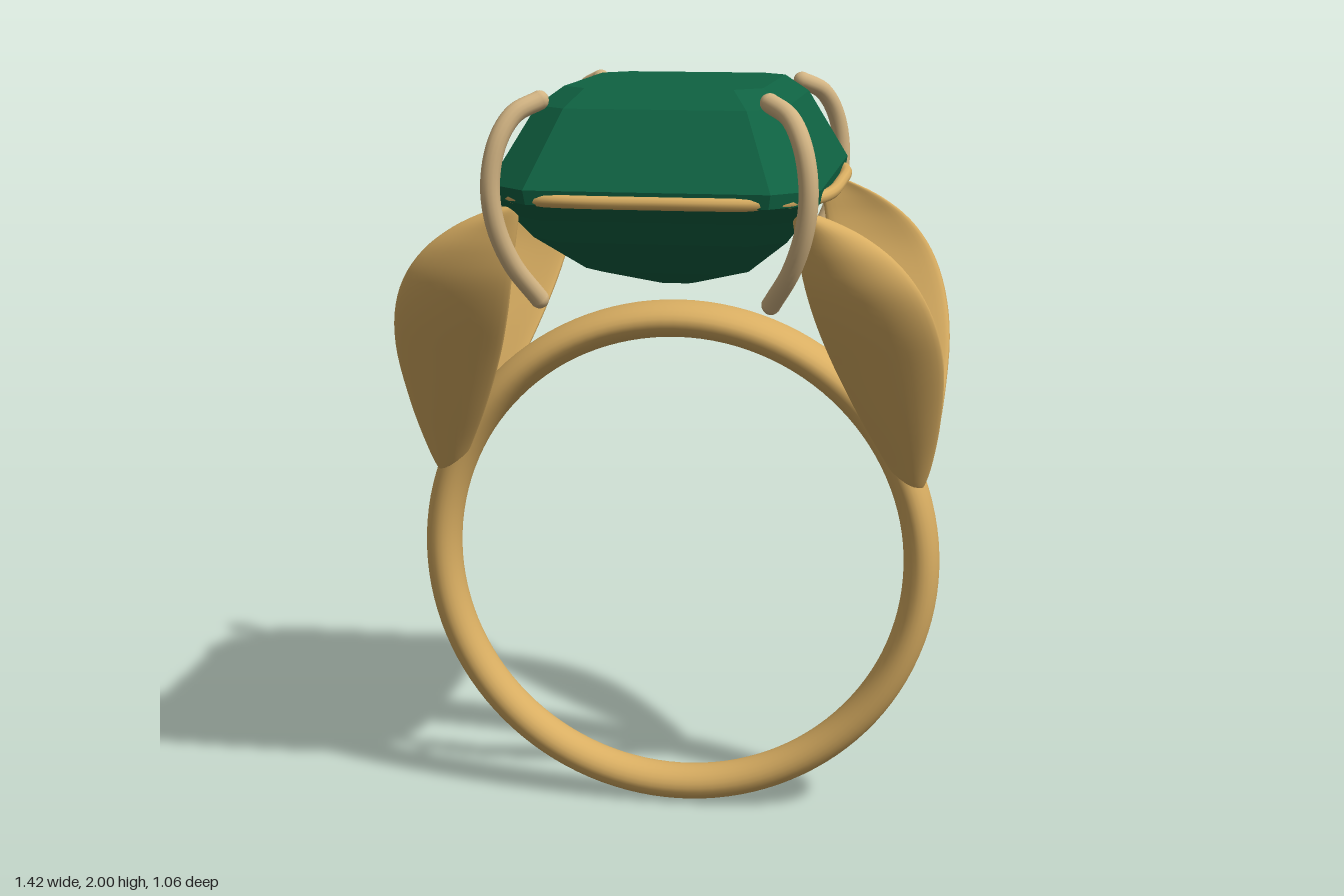
import * as THREE from 'three';
import { mergeGeometries, mergeVertices } from 'three/addons/utils/BufferGeometryUtils.js';

// Skin closed rings of [x, y, z] points, bottom to top, with both ends capped
function loft(rings, flat = false) {
  const n = rings[0].length, pos = [], idx = [];
  for (const ring of rings) for (const p of ring) pos.push(...p);
  for (let i = 0; i < rings.length - 1; i++) {
    for (let j = 0; j < n; j++) {
      const a = i * n + j, b = i * n + (j + 1) % n;
      idx.push(a, a + n, b + n, a, b + n, b);
    }
  }
  const last = (rings.length - 1) * n;
  for (let j = 1; j < n - 1; j++) {
    idx.push(0, j, j + 1);
    idx.push(last, last + j + 1, last + j);
  }
  let geo = new THREE.BufferGeometry();
  geo.setAttribute('position', new THREE.Float32BufferAttribute(pos, 3));
  geo.setIndex(idx);
  if (flat) geo = geo.toNonIndexed();
  geo.computeVertexNormals();
  return geo;
}

// Rectangle with cut corners at height y
function octagon(x, z, cut, y) {
  return [[x, -z + cut], [x, z - cut], [x - cut, z], [-x + cut, z],
    [-x, z - cut], [-x, -z + cut], [-x + cut, -z], [x - cut, -z]].map(([px, pz]) => [px, y, pz]);
}

// Shank that widens towards the top
function bandGeometry() {
  let geo = new THREE.TorusGeometry(0.662, 0.048, 24, 120);
  const p = geo.attributes.position;
  for (let i = 0; i < p.count; i++) {
    const s = (p.getY(i) / 0.662 + 1) / 2;
    p.setZ(i, p.getZ(i) / 0.048 * (0.06 + 0.03 * s * s));
  }
  geo.deleteAttribute('normal');
  geo.deleteAttribute('uv');
  geo = mergeVertices(geo);
  geo.computeVertexNormals();
  return geo.translate(0, 0.712, 0);
}

// Cupped leaf: keys hold inner x, outer x, z and half thickness along the height
function leafGeometry(sx, sz) {
  const keys = [
    [0.935, 0.615, 0.65, 0.045, 0.006], [0.955, 0.593, 0.667, 0.054, 0.016],
    [1.03, 0.555, 0.687, 0.095, 0.024], [1.15, 0.497, 0.705, 0.165, 0.03],
    [1.3, 0.435, 0.712, 0.253, 0.032], [1.42, 0.395, 0.693, 0.325, 0.03],
    [1.52, 0.37, 0.652, 0.373, 0.027], [1.6, 0.355, 0.59, 0.392, 0.023],
    [1.66, 0.345, 0.51, 0.395, 0.019], [1.7, 0.34, 0.425, 0.394, 0.014],
    [1.715, 0.345, 0.375, 0.393, 0.006]];
  const at = (t, k) => {
    const f = Math.min(t * (keys.length - 1), keys.length - 1.0001), i = Math.floor(f), u = f - i;
    const v = [-1, 0, 1, 2].map(o => keys[Math.min(Math.max(i + o, 0), keys.length - 1)][k]);
    return v[1] + 0.5 * u * (v[2] - v[0] + u * (2 * v[0] - 5 * v[1] + 4 * v[2] - v[3]
      + u * (3 * (v[1] - v[2]) + v[3] - v[0])));
  };
  const rings = [];
  for (let r = 0; r <= 40; r++) {
    const [y, x0, x1, z, h] = [0, 1, 2, 3, 4].map(k => at(r / 40, k));
    const ring = [];
    for (let j = 0; j < 28; j++) {
      const a = j / 28 * Math.PI * 2, c = Math.cos(a);
      const px = (x0 + x1) / 2 + (x1 - x0) / 2 * c;
      ring.push([sx * px, y, sz * (z + h * Math.sin(a) - 0.9 * h * c * c)]);
    }
    if (sx * sz < 0) ring.reverse();
    rings.push(ring);
  }
  return loft(rings);
}

// Curved claw with rounded ends
function prongGeometry(sx, sz) {
  const pts = [[0.29, 1.485, 0.385], [0.345, 1.58, 0.44], [0.378, 1.68, 0.47], [0.387, 1.78, 0.478],
    [0.37, 1.88, 0.465], [0.335, 1.945, 0.432], [0.282, 1.975, 0.388]]
    .map(([x, y, z]) => new THREE.Vector3(sx * x, y, sz * z));
  const parts = [new THREE.TubeGeometry(new THREE.CatmullRomCurve3(pts), 40, 0.024, 14)];
  for (const e of [pts[0], pts[pts.length - 1]]) {
    parts.push(new THREE.SphereGeometry(0.024, 14, 10).translate(e.x, e.y, e.z));
  }
  return mergeGeometries(parts);
}

export function createModel() {
  const gold = new THREE.MeshStandardMaterial({ color: 0xd9ae62 });
  gold.name = 'gold';
  const paleGold = new THREE.MeshStandardMaterial({ color: 0xd2b483 });
  paleGold.name = 'pale gold';
  const green = new THREE.MeshStandardMaterial({ color: 0x0f6242 });
  green.name = 'emerald green';

  const ring = new THREE.Group();
  ring.name = 'gemRing';
  const add = (name, geo, mat) => {
    const mesh = new THREE.Mesh(geo, mat);
    mesh.name = name;
    ring.add(mesh);
  };

  add('band', bandGeometry(), gold);

  // Step-cut stone: half width, half depth, corner cut, height
  add('gemstone', loft([
    [0.05, 0.07, 0.015, 1.48], [0.21, 0.25, 0.055, 1.535], [0.32, 0.4, 0.085, 1.63],
    [0.365, 0.455, 0.1, 1.69], [0.405, 0.505, 0.11, 1.735], [0.41, 0.51, 0.11, 1.77],
    [0.31, 0.38, 0.085, 1.955], [0.25, 0.315, 0.065, 2],
  ].map(([x, z, c, y]) => octagon(x, z, c, y)), true), green);

  // Thin wire around the girdle
  const wire = [[0.425, 0], [0.395, 0.35], [0.285, 0.485], [0, 0.515], [-0.285, 0.485], [-0.395, 0.35],
    [-0.425, 0], [-0.395, -0.35], [-0.285, -0.485], [0, -0.515], [0.285, -0.485], [0.395, -0.35]]
    .map(([x, z]) => new THREE.Vector3(x, 1.745, z));
  add('girdleWire', new THREE.TubeGeometry(new THREE.CatmullRomCurve3(wire, true), 120, 0.016, 10, true), gold);

  // Four leaf shoulders and four claws
  for (const sx of [1, -1]) {
    for (const sz of [1, -1]) {
      const side = (sz > 0 ? 'front' : 'back') + (sx > 0 ? 'Left' : 'Right');
      add(side + 'Leaf', leafGeometry(sx, sz), gold);
      add(side + 'Prong', prongGeometry(sx, sz), paleGold);
    }
  }
  ring.position.z = -0.005;

  const model = new THREE.Group();
  model.name = 'model';
  model.add(ring);
  return model;
}
